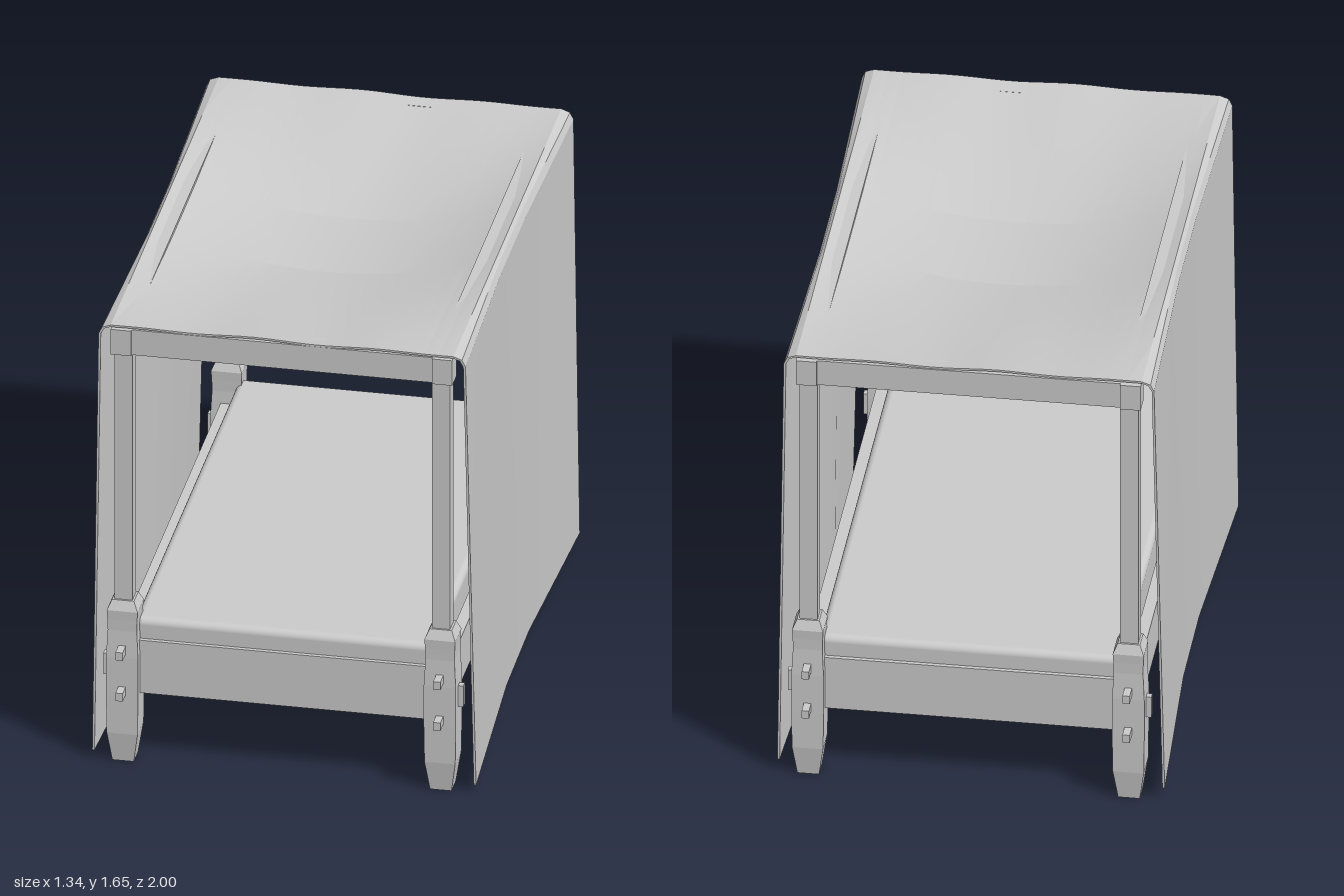
import * as THREE from 'three';
import { toCreasedNormals } from 'three/addons/utils/BufferGeometryUtils.js';
import { RoundedBoxGeometry } from 'three/addons/geometries/RoundedBoxGeometry.js';

const wood = new THREE.MeshStandardMaterial({ color: 0xcccccc, flatShading: true });
const cloth = new THREE.MeshStandardMaterial({ color: 0xcccccc, side: THREE.DoubleSide });
const POST_X = 0.547, POST_Z = 0.895;

function add(parent, name, geometry, x, y, z, material = wood) {
  const mesh = new THREE.Mesh(geometry, material);
  mesh.name = name;
  mesh.position.set(x, y, z);
  parent.add(mesh);
  return mesh;
}

// Box given by its centre x and z, its height range and its footprint
function box(parent, name, x, z, y0, y1, w, d) {
  return add(parent, name, new THREE.BoxGeometry(w, y1 - y0, d), x, (y0 + y1) / 2, z);
}

// Square leg with tapered foot and chamfered head, from [half width, height] pairs
function legGeometry() {
  const profile = [[0, 0], [0.037, 0], [0.053, 0.11], [0.055, 0.25], [0.055, 0.4], [0.05, 0.5],
    [0.051, 0.54], [0.053, 0.575], [0.038, 0.61], [0, 0.61]];
  const points = profile.map(([r, y]) => new THREE.Vector2(r * Math.SQRT2, y));
  return new THREE.LatheGeometry(points, 4, Math.PI / 4);
}

// Draped sheet: outer line of one cross-section at depth z, from -x hem to +x hem
function drapeLine(z) {
  const flare = Math.max(0, (Math.abs(z) - 0.2) / 0.73);
  const sag = 0.108 * (1 - flare);
  const top = 0.614 + 0.018 * flare;
  const hemY = 0.037 - 0.008 * z;
  const side = (sx) => {
    const hem = 0.626 + 0.035 * flare + sx * 0.008 * z;
    const points = [0, 0.33, 0.67, 1].map((t) => [sx * (hem + (top - hem) * t), hemY + (1.615 - hemY) * t]);
    return [...points, [sx * (top - 0.012), 1.64]];
  };
  const line = side(-1);
  for (let i = 0; i <= 24; i++) {
    const x = -0.59 + 1.18 * i / 24;
    const dip = 1 - (x / 0.59) ** 2;
    const wave = 0.004 * flare * Math.cos(14 * (x + 0.1)) * dip;
    line.push([x, 1.651 - sag * dip + wave]);
  }
  return line.concat(side(1).reverse());
}

// Closed cross-sections (outer line out, inner line back) joined along z
function canopyGeometry() {
  const depths = [-0.925, -0.68, -0.44, -0.2, 0, 0.2, 0.44, 0.68, 0.93];
  const positions = [], index = [];
  let n = 0, count = 0;
  depths.forEach((z) => {
    const outer = drapeLine(z);
    const inner = outer.map(([x, y]) => {
      const atSide = Math.abs(x) > 0.595;
      return atSide ? [x - Math.sign(x) * 0.008, Math.min(y, 1.636)] : [x, y - 0.007];
    }).reverse();
    n = outer.length;
    count = n * 2;
    [...outer, ...inner].forEach(([x, y]) => positions.push(x, y, z));
  });
  for (let s = 0; s < depths.length - 1; s++) {
    for (let i = 0; i < count; i++) {
      const j = (i + 1) % count;
      const a = s * count + i, b = s * count + j, c = a + count, d = b + count;
      index.push(a, c, b, b, c, d);
    }
  }
  // Thin edges at both ends
  const last = (depths.length - 1) * count;
  for (let i = 0; i < n - 1; i++) {
    const p = count - 1 - i, q = p - 1;
    index.push(i, i + 1, p, i + 1, q, p);
    index.push(last + i, last + p, last + i + 1, last + i + 1, last + p, last + q);
  }
  const geometry = new THREE.BufferGeometry();
  geometry.setAttribute('position', new THREE.Float32BufferAttribute(positions, 3));
  geometry.setIndex(index);
  return toCreasedNormals(geometry, 0.12);
}

export function createModel() {
  const bed = new THREE.Group();
  bed.name = 'canopyBed';

  // Four corners: leg, slim post, corner block and pegs
  const legShape = legGeometry();
  for (const sx of [-1, 1]) {
    for (const sz of [-1, 1]) {
      const corner = new THREE.Group();
      corner.name = 'cornerPost';
      const x = sx * POST_X, z = sz * POST_Z;
      add(corner, 'leg', legShape, x, 0, z);
      box(corner, 'post', x, z, 0.6, 1.6, 0.062, 0.062);
      box(corner, 'cornerBlock', sx * 0.553, sz * 0.903, 1.545, 1.64, 0.07, 0.074);
      for (const y of [0.275, 0.43]) {
        box(corner, 'endPeg', x, sz * 0.96, y - 0.015, y + 0.015, 0.025, 0.08);
      }
      box(corner, 'sideTenon', sx * 0.6, z, 0.31, 0.39, 0.04, 0.025);
      bed.add(corner);
    }
  }

  // Bed frame rails and top rails
  for (const s of [-1, 1]) {
    box(bed, 'endBoard', 0, s * POST_Z, 0.255, 0.455, 1.0, 0.04);
    box(bed, 'sideRail', s * POST_X, 0, 0.285, 0.455, 0.04, 1.72);
    box(bed, 'topEndRail', 0, s * 0.9, 1.545, 1.64, 1.05, 0.06);
    box(bed, 'topSideRail', s * POST_X, 0, 1.56, 1.64, 0.05, 1.75);
  }

  // Slats across the bed
  const slats = 8;
  for (let i = 0; i < slats; i++) {
    const z = -0.75 + 1.5 * i / (slats - 1);
    box(bed, 'slat', 0, z, 0.31, 0.355, 1.06, 0.11);
  }

  // Mattress
  add(bed, 'mattress', new RoundedBoxGeometry(1.03, 0.175, 1.8, 3, 0.025), 0, 0.4425, 0, cloth);

  // Sagging sheet over the top and both sides
  add(bed, 'canopySheet', canopyGeometry(), 0, 0, 0, cloth);
  return bed;
}
